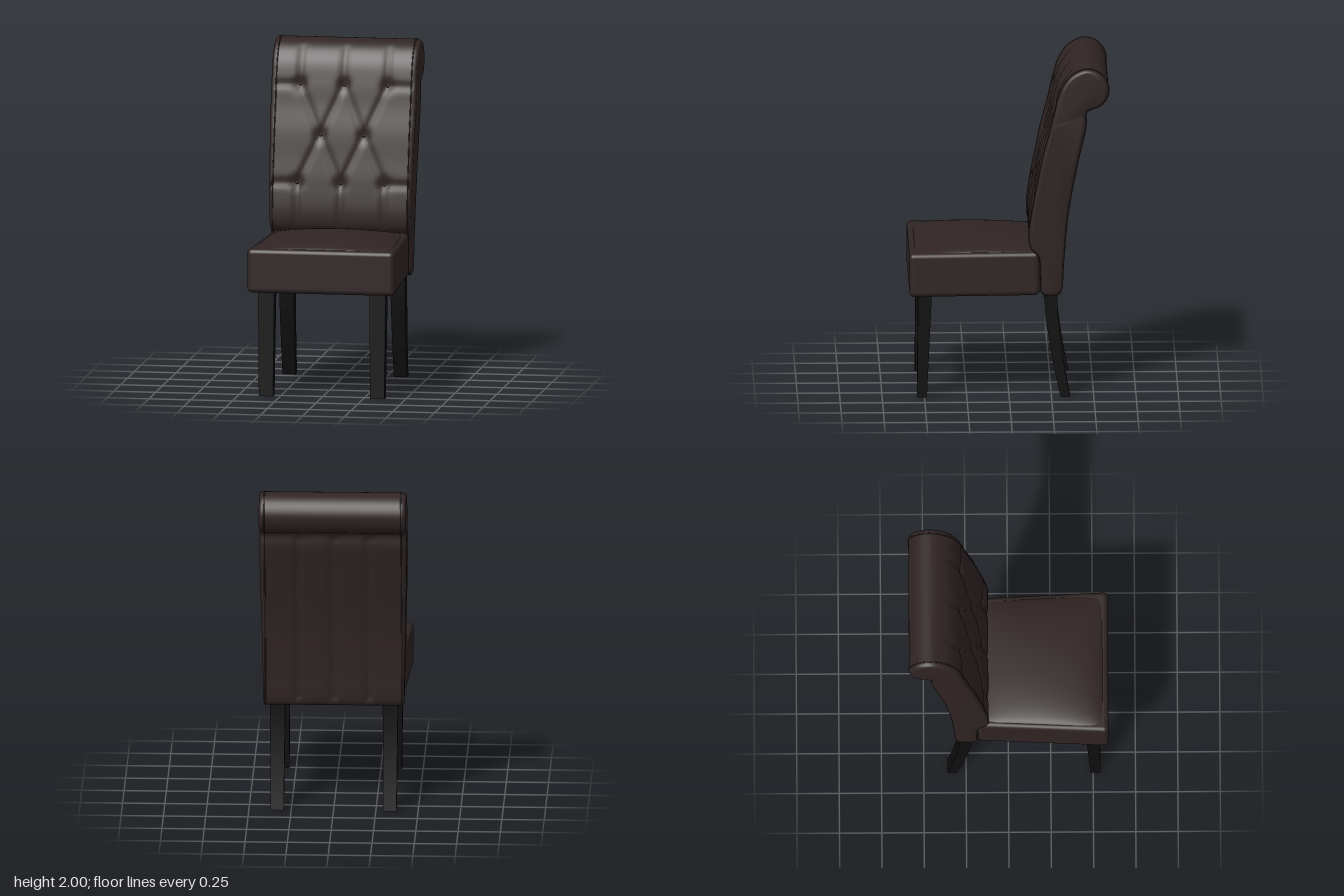
import * as THREE from 'three';
import { mergeVertices, toCreasedNormals } from 'three/addons/utils/BufferGeometryUtils.js';
import { RoundedBoxGeometry } from 'three/addons/geometries/RoundedBoxGeometry.js';

const leather = new THREE.MeshStandardMaterial({ color: 0x302424 });
leather.name = 'upholstery';
const wood = new THREE.MeshStandardMaterial({ color: 0x0e0e0e });
wood.name = 'blackWood';
const cloth = new THREE.MeshStandardMaterial({ color: 0x4a3c26 });
cloth.name = 'undersideCloth';

const clamp = THREE.MathUtils.clamp;

// Side outline of the scrolled backrest as [z, y]
const outline = [
  [-0.195, 0.635], [-0.188, 0.75], [-0.175, 0.86], [-0.128, 0.91], [-0.118, 0.99], [-0.14, 1.17],
  [-0.17, 1.32], [-0.2, 1.47], [-0.24, 1.62], [-0.272, 1.76], [-0.31, 1.88], [-0.37, 1.96],
  [-0.46, 1.998], [-0.54, 1.97], [-0.585, 1.9], [-0.58, 1.83], [-0.54, 1.775], [-0.48, 1.752],
  [-0.456, 1.735], [-0.455, 1.66], [-0.42, 1.5], [-0.378, 1.3], [-0.345, 1.1], [-0.322, 0.85],
  [-0.305, 0.65], [-0.29, 0.632],
];

// Button positions and the creases running between them
const buttons = [[-0.26, 1.74], [0, 1.74], [0.26, 1.74], [-0.13, 1.45], [0.13, 1.45],
  [-0.26, 1.17], [0, 1.17], [0.26, 1.17]];
const creases = [];
for (const x of [-0.13, 0.13])
  for (const dx of [-0.13, 0.13])
    for (const y of [1.74, 1.17]) creases.push([x, 1.45, x + dx, y]);
for (const x of [-0.26, 0, 0.26]) creases.push([x, 1.74, x, 1.94], [x, 1.17, x, 0.92]);
for (const s of [-1, 1])
  for (const y of [1.74, 1.17]) creases.push([0.26 * s, y, 0.4 * s, y]);

function segmentDistance(x, y, [ax, ay, bx, by]) {
  const dx = bx - ax, dy = by - ay;
  const t = clamp(((x - ax) * dx + (y - ay) * dy) / (dx * dx + dy * dy), 0, 1);
  return Math.hypot(x - ax - t * dx, y - ay - t * dy);
}

function tuftDepth(x, y) {
  const crease = Math.min(...creases.map((c) => segmentDistance(x, y, c)));
  const button = Math.min(...buttons.map(([bx, by]) => Math.hypot(x - bx, y - by)));
  return 0.009 * Math.exp(-((crease / 0.022) ** 2)) + 0.018 * Math.exp(-((button / 0.035) ** 2));
}

function moveVertices(geometry, rule) {
  const p = geometry.attributes.position;
  const v = new THREE.Vector3();
  for (let i = 0; i < p.count; i++) {
    rule(v.fromBufferAttribute(p, i));
    p.setXYZ(i, v.x, v.y, v.z);
  }
  return geometry;
}

function addMesh(parent, name, geometry, material) {
  const mesh = new THREE.Mesh(geometry, material);
  mesh.name = name;
  parent.add(mesh);
  return mesh;
}

function buildBackrest() {
  const group = new THREE.Group();
  group.name = 'backrest';
  const curve = new THREE.CatmullRomCurve3(
    outline.map(([z, y]) => new THREE.Vector3(0, y, z)), true, 'centripetal');
  const points = curve.getSpacedPoints(170).slice(0, -1);
  const shape = new THREE.Shape(points.map((p) => new THREE.Vector2(-p.z, p.y)));
  let geometry = new THREE.ExtrudeGeometry(shape, {
    depth: 0.81, steps: 54, bevelThickness: 0.03, bevelSize: 0.02, bevelOffset: -0.02, bevelSegments: 4,
  });
  geometry.translate(0, 0, -0.405).rotateY(Math.PI / 2);
  geometry.deleteAttribute('normal');
  geometry.deleteAttribute('uv');
  geometry = mergeVertices(geometry, 1e-4);
  moveVertices(geometry, (v) => {
    const side = Math.abs(v.x) - 0.405;
    if (side > 0.001) {
      // padded sides swell towards the top
      v.x = Math.sign(v.x) * (0.405 + side * (0.35 + 0.65 * clamp((v.y - 0.65) / 0.9, 0, 1)));
      return;
    }
    const middle = -0.22 - Math.max(0, v.y - 1) * 0.2;
    if (v.z > middle) {
      if (v.y > 0.88) v.z -= tuftDepth(v.x, v.y);
    } else if (v.y > 0.66 && v.y < 1.72) {
      // vertical pleats on the rear
      const d = Math.min(...[-0.21, 0, 0.21].map((x) => Math.abs(v.x - x)));
      v.z += 0.012 * Math.exp(-((d / 0.025) ** 2));
    }
  });
  addMesh(group, 'tuftedBack', toCreasedNormals(geometry, 0.9), leather);

  // Seam piping along both edges
  for (const s of [-1, 1]) {
    const piping = addMesh(group, 'backPiping', new THREE.TubeGeometry(curve, 150, 0.004, 5, true), leather);
    piping.position.x = s * 0.404;
  }

  // Covered buttons sunk in the tufts
  for (const [x, y] of buttons) {
    const front = outline.findIndex((p) => p[1] > y);
    const [z0, y0] = outline[front - 1], [z1, y1] = outline[front];
    const z = z0 + ((z1 - z0) * (y - y0)) / (y1 - y0);
    const button = addMesh(group, 'tuftButton', new THREE.SphereGeometry(0.011, 10, 8), leather);
    button.position.set(x, y, z - 0.026);
  }
  return group;
}

function buildSeat() {
  const group = new THREE.Group();
  group.name = 'seat';
  const taper = (v) => { v.x *= 0.92 + 0.08 * clamp((v.z + 0.18) / 0.7, 0, 1); };

  const base = new RoundedBoxGeometry(0.88, 0.262, 0.77, 5, 0.028);
  base.translate(0, 0.753, 0.205);
  addMesh(group, 'seatBase', moveVertices(base, taper), leather);

  // Domed cushion top
  const dome = new THREE.PlaneGeometry(2, 2, 32, 32).rotateX(-Math.PI / 2);
  moveVertices(dome, (v) => {
    const u = Math.sin((v.x * Math.PI) / 2), w = Math.sin((v.z * Math.PI) / 2);
    const height = 0.06 * Math.sqrt(Math.max(0, (1 - u * u) * (1 - w * w)));
    v.set(u * 0.415, 0.876 + height, 0.195 + w * 0.365);
    taper(v);
  });
  dome.computeVertexNormals();
  addMesh(group, 'seatCushion', dome, leather);

  // Dust cover under the seat
  const cover = new THREE.BoxGeometry(0.74, 0.006, 0.68);
  cover.translate(0, 0.62, 0.19);
  addMesh(group, 'undersidePanel', moveVertices(cover, taper), cloth);
  return group;
}

// Square leg; t runs from 0 at the top to 1 at the floor
function buildLeg(name, centerZ, depth, width) {
  const geometry = new THREE.BoxGeometry(1, 1, 1, 1, 12, 1);
  moveVertices(geometry, (v) => {
    const t = 0.5 - v.y;
    v.set(v.x * width(t), 0.64 * (1 - t), centerZ(t) + v.z * depth(t));
  });
  geometry.computeVertexNormals();
  const legs = new THREE.Group();
  legs.name = name + 's';
  for (const s of [-1, 1]) addMesh(legs, name, geometry, wood).position.x = s * 0.333;
  return legs;
}

export function createModel() {
  const chair = new THREE.Group();
  chair.name = 'diningChair';
  chair.add(buildBackrest(), buildSeat());
  chair.add(buildLeg('frontLeg', (t) => 0.497 + 0.018 * t, (t) => 0.082 - 0.024 * t, (t) => 0.097 - 0.012 * t));
  chair.add(buildLeg('rearLeg', (t) => -0.245 - 0.088 * t ** 1.6, (t) => 0.078 - 0.022 * t, (t) => 0.09 - 0.012 * t));
  return chair;
}
